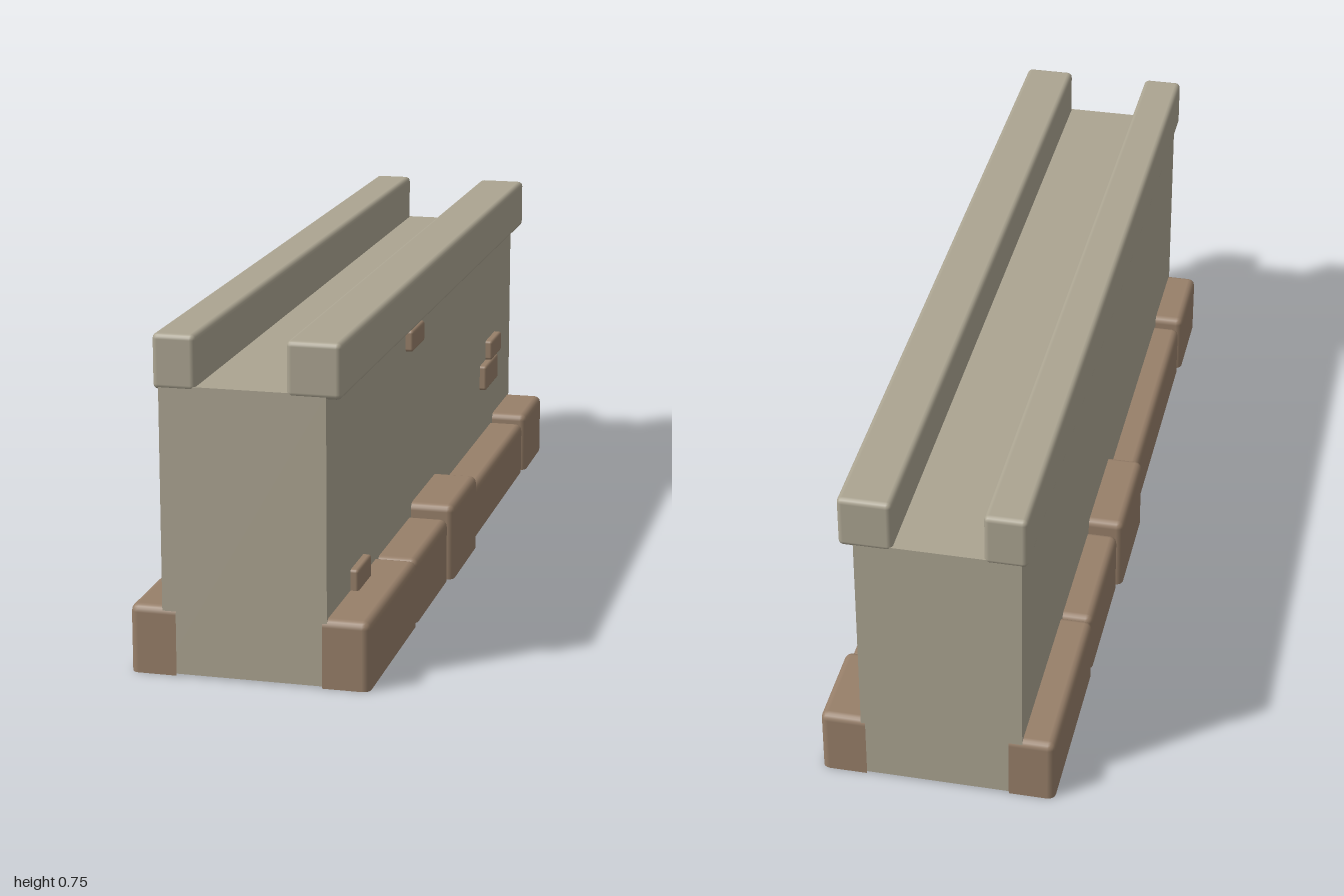
import * as THREE from 'three';
import { RoundedBoxGeometry } from 'three/addons/geometries/RoundedBoxGeometry.js';

const HALF = 0.981; // half length of the wall

const wallMat = new THREE.MeshStandardMaterial({ color: 0xaba491, side: THREE.DoubleSide });
wallMat.name = 'greyStone';
const brickMat = new THREE.MeshStandardMaterial({ color: 0x977f69, side: THREE.DoubleSide });
brickMat.name = 'brownStone';

// Keeps only triangles with at least one corner above minY and one beyond minX
function openShell(geometry, minX, minY) {
  const g = geometry.index ? geometry.toNonIndexed() : geometry;
  const out = new THREE.BufferGeometry();
  const p = g.attributes.position, n = g.attributes.normal;
  const pos = [], nor = [];
  for (let i = 0; i < p.count; i += 3) {
    const ids = [i, i + 1, i + 2];
    if (!ids.some(k => p.getY(k) > minY + 1e-4)) continue;
    if (!ids.some(k => p.getX(k) > minX + 1e-4)) continue;
    for (const k of ids) {
      pos.push(p.getX(k), p.getY(k), p.getZ(k));
      nor.push(n.getX(k), n.getY(k), n.getZ(k));
    }
  }
  out.setAttribute('position', new THREE.Float32BufferAttribute(pos, 3));
  out.setAttribute('normal', new THREE.Float32BufferAttribute(nor, 3));
  return out;
}

// Rounded block given by its limits on each axis
function block(x0, x1, y0, y1, z0, z1, r) {
  return new RoundedBoxGeometry(x1 - x0, y1 - y0, z1 - z0, 2, r)
    .translate((x0 + x1) / 2, (y0 + y1) / 2, (z0 + z1) / 2);
}

function add(parent, name, geometry, material) {
  const mesh = new THREE.Mesh(geometry, material);
  mesh.name = name;
  parent.add(mesh);
  return mesh;
}

// Row of footing stones: back z, front z, height, outer x
const STONES = [
  [0.537, HALF, 0.152, 0.262],
  [0.205, 0.533, 0.15, 0.26],
  [-0.065, 0.207, 0.181, 0.273],
  [-0.752, -0.067, 0.131, 0.254],
  [-HALF, -0.754, 0.152, 0.262],
];

function footing(name) {
  const row = new THREE.Group();
  row.name = name;
  const r = 0.017, inner = 0.16;
  for (const [z0, z1, h, outer] of STONES) {
    // open towards the ground and the wall
    const g = openShell(block(inner - r, outer, -r, h, z0, z1, r), inner, 0);
    add(row, 'footingStone', g, brickMat);
  }
  return row;
}

export function createModel() {
  const model = new THREE.Group();
  model.name = 'stoneWall';
  const wall = new THREE.Group();
  wall.name = 'wall';
  wall.rotation.y = -0.074;
  model.add(wall);

  // Hollow body, open underneath
  const body = new THREE.BoxGeometry(0.36, 0.631, HALF * 2 - 0.004).translate(-0.01, 0.3195, 0);
  add(wall, 'body', openShell(body, -1, 0.004), wallMat);

  // Parapets along both top edges
  add(wall, 'leftParapet', block(0.085, 0.2025, 0.625, 0.745, -HALF, HALF, 0.012), wallMat);
  add(wall, 'rightParapet', block(-0.2025, -0.109, 0.625, 0.745, -HALF, HALF, 0.012), wallMat);

  // Footings, the second turned half round
  wall.add(footing('leftFooting'));
  const other = footing('rightFooting');
  other.rotation.y = Math.PI;
  wall.add(other);

  // Loose bricks showing on the left face: back z, front z, bottom, top
  const bricks = [
    [0.66, 0.78, 0.145, 0.199],
    [0.147, 0.267, 0.56, 0.61],
    [-0.738, -0.584, 0.258, 0.323],
    [-0.78, -0.655, 0.323, 0.374],
  ];
  for (const [z0, z1, y0, y1] of bricks) {
    add(wall, 'faceBrick', block(0.155, 0.188, y0, y1, z0, z1, 0.007), brickMat);
  }
  return model;
}
